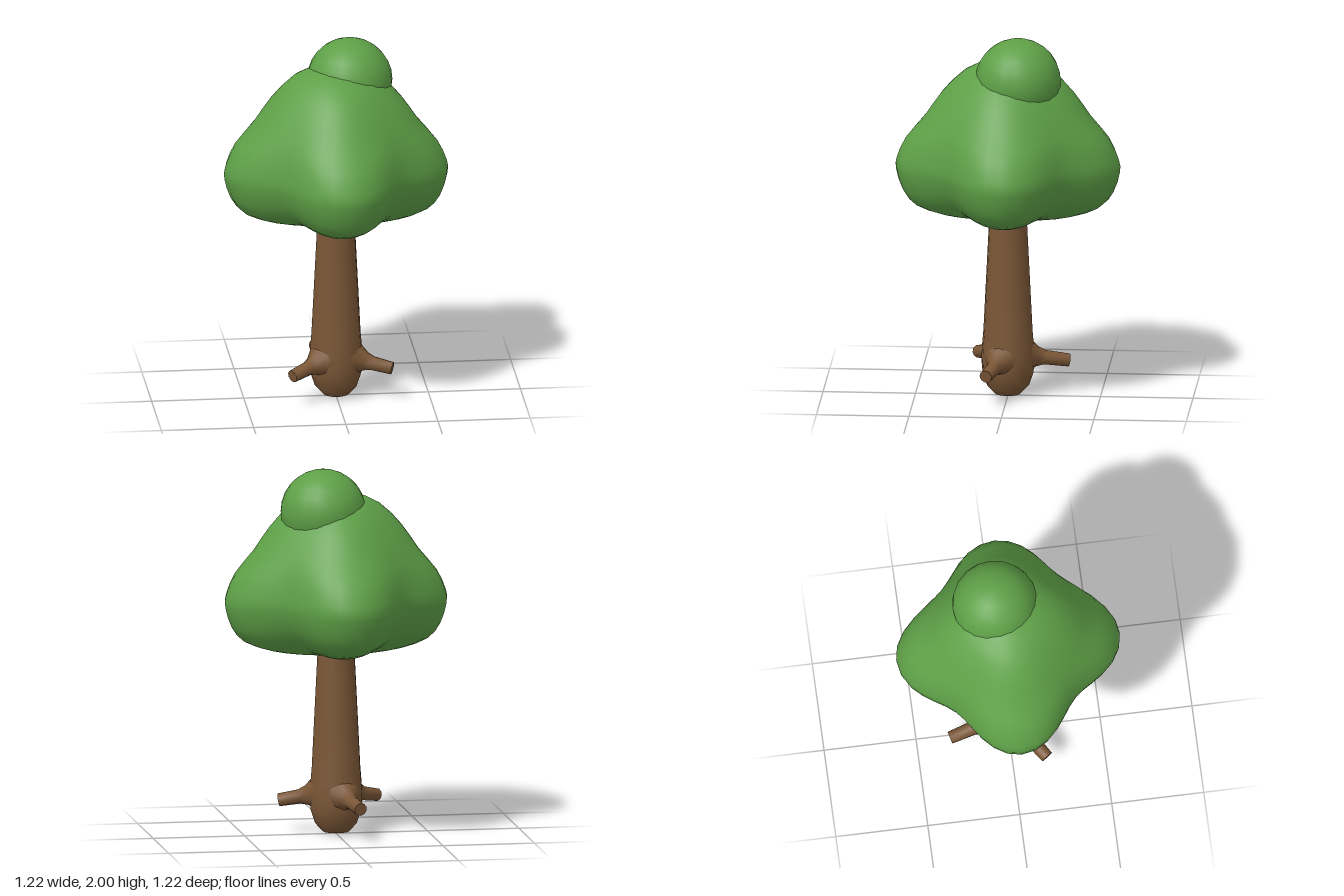
import * as THREE from 'three';
import { mergeVertices } from 'three/addons/utils/BufferGeometryUtils.js';

const v2 = (points) => points.map(([x, y]) => new THREE.Vector2(x, y));

// Weld seams and poles so that the normals run smoothly all round
function smooth(geometry) {
  geometry.deleteAttribute('uv');
  geometry.deleteAttribute('normal');
  const welded = mergeVertices(geometry, 1e-4);
  welded.computeVertexNormals();
  return welded;
}

// Four-lobed crown: blends a lobe profile with a valley profile around the axis
function crownGeometry() {
  const lobe = new THREE.SplineCurve(v2([
    [0, 0.97], [0.2, 0.985], [0.36, 1.01], [0.5, 1.06], [0.57, 1.14], [0.605, 1.25], [0.6, 1.32],
    [0.55, 1.43], [0.45, 1.55], [0.36, 1.68], [0.24, 1.8], [0.1, 1.86], [0, 1.87],
  ])).getPoints(24);
  const valley = new THREE.SplineCurve(v2([
    [0, 0.97], [0.17, 1.0], [0.29, 1.04], [0.38, 1.1], [0.435, 1.18], [0.465, 1.27], [0.465, 1.34],
    [0.445, 1.45], [0.4, 1.56], [0.33, 1.68], [0.23, 1.8], [0.1, 1.86], [0, 1.87],
  ])).getPoints(24);
  const sides = 48;
  const geometry = new THREE.LatheGeometry(lobe, sides);
  const position = geometry.attributes.position;
  for (let i = 0; i <= sides; i++) {
    const angle = (i / sides) * Math.PI * 2;
    const weight = 0.5 + 0.5 * Math.cos(4 * angle);
    lobe.forEach((p, j) => {
      const q = valley[j].clone().lerp(p, weight);
      position.setXYZ(i * lobe.length + j, q.x * Math.sin(angle), q.y, q.x * Math.cos(angle));
    });
  }
  return smooth(geometry);
}

export function createModel() {
  const tree = new THREE.Group();
  tree.name = 'tree';
  const leaf = new THREE.MeshStandardMaterial({ color: 0x5ea047 });
  leaf.name = 'leaf green';
  const bark = new THREE.MeshStandardMaterial({ color: 0x7a5636 });
  bark.name = 'bark brown';

  const add = (name, geometry, material) => {
    const mesh = new THREE.Mesh(geometry, material);
    mesh.name = name;
    tree.add(mesh);
    return mesh;
  };

  // Foliage
  add('crown', crownGeometry(), leaf);
  add('topTuft', new THREE.SphereGeometry(0.232, 20, 14), leaf).position.set(0.08, 1.77, -0.06);

  // Tapered trunk with a rounded foot
  add('trunk', smooth(new THREE.LatheGeometry(v2([
    [0, 0], [0.07, 0.012], [0.115, 0.06], [0.138, 0.13], [0.144, 0.2], [0.14, 0.28],
    [0.133, 0.36], [0.117, 0.68], [0.1, 1.02],
  ]), 16)), bark);

  // Three root stubs, flared where they leave the trunk
  const tips = [[-0.255, 0.175, 0.18], [0.295, 0.175, 0.1], [-0.08, 0.18, -0.325]];
  for (const tip of tips) {
    const start = new THREE.Vector3(0, 0.235, 0);
    const along = new THREE.Vector3(...tip).sub(start);
    const length = along.length();
    const profile = v2([
      [0.115, 0.08], [0.082, 0.125], [0.053, 0.165], [0.039, 0.205], [0.035, length],
    ]);
    const root = new THREE.Group();
    root.name = 'root';
    const stub = new THREE.Mesh(smooth(new THREE.LatheGeometry(profile, 10)), bark);
    stub.name = 'rootStub';
    const end = new THREE.Mesh(new THREE.CircleGeometry(0.035, 10), bark);
    end.name = 'rootEnd';
    end.rotation.x = -Math.PI / 2;
    end.position.y = length;
    root.add(stub, end);
    root.position.copy(start);
    root.quaternion.setFromUnitVectors(new THREE.Vector3(0, 1, 0), along.normalize());
    tree.add(root);
  }
  return tree;
}
